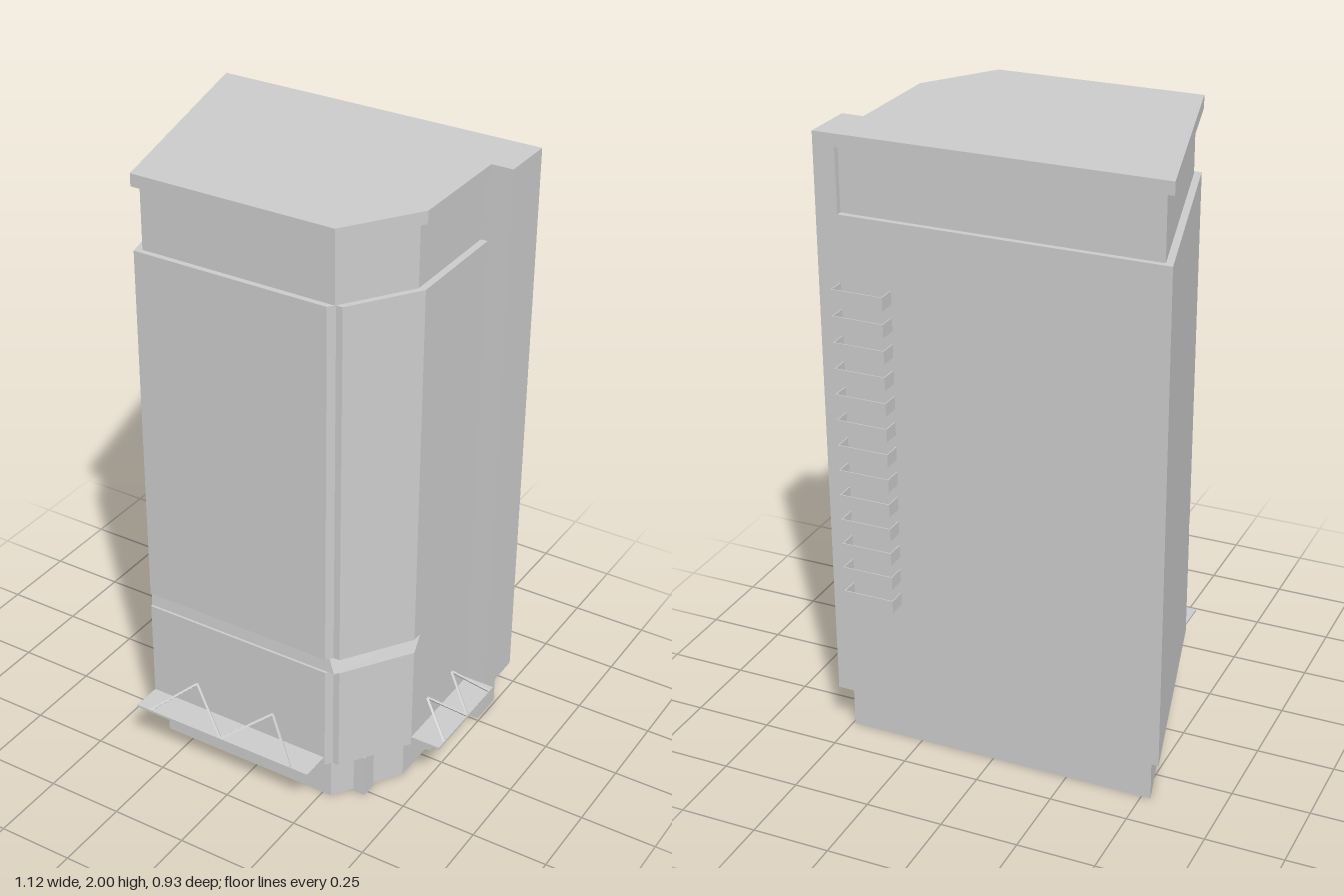
import * as THREE from 'three';

const grey = new THREE.MeshStandardMaterial({ color: 0xcccccc, flatShading: true, side: THREE.DoubleSide });

// Tower footprint as [x, z]; edges in order: back, left, chamfer, front, slanted right
const PLAN = [[-0.565, -0.408], [0.457, -0.408], [0.457, 0.132], [0.302, 0.362], [-0.37, 0.362]];

// Footprint with each edge moved inwards by its own inset
function outline(insets) {
  const lines = PLAN.map((p, i) => {
    const q = PLAN[(i + 1) % PLAN.length];
    const len = Math.hypot(q[0] - p[0], q[1] - p[1]);
    const d = [(q[0] - p[0]) / len, (q[1] - p[1]) / len];
    return { p: [p[0] - d[1] * insets[i], p[1] + d[0] * insets[i]], d };
  });
  return lines.map((b, i) => {
    const a = lines[(i + lines.length - 1) % lines.length];
    const cross = a.d[0] * b.d[1] - a.d[1] * b.d[0];
    const t = ((b.p[0] - a.p[0]) * b.d[1] - (b.p[1] - a.p[1]) * b.d[0]) / cross;
    return [a.p[0] + a.d[0] * t, a.p[1] + a.d[1] * t];
  });
}

// Solid or open shell between a lower and an upper outline
function loft(name, low, y0, high, y1, capped = true) {
  const pos = [];
  const n = low.length;
  const put = (p, y) => pos.push(p[0], y, p[1]);
  for (let i = 0; i < n; i++) {
    const j = (i + 1) % n;
    put(low[i], y0); put(high[i], y1); put(low[j], y0);
    put(high[i], y1); put(high[j], y1); put(low[j], y0);
  }
  if (capped) {
    const tris = THREE.ShapeUtils.triangulateShape(low.map(p => new THREE.Vector2(...p)), []);
    for (const [a, b, c] of tris) {
      put(low[a], y0); put(low[b], y0); put(low[c], y0);
      put(high[a], y1); put(high[c], y1); put(high[b], y1);
    }
  }
  const geo = new THREE.BufferGeometry();
  geo.setAttribute('position', new THREE.Float32BufferAttribute(pos, 3));
  geo.computeVertexNormals();
  const mesh = new THREE.Mesh(geo, grey);
  mesh.name = name;
  return mesh;
}

// Box given by its lower and upper corners
function box(name, [x0, y0, z0], [x1, y1, z1]) {
  const mesh = new THREE.Mesh(new THREE.BoxGeometry(x1 - x0, y1 - y0, z1 - z0), grey);
  mesh.position.set((x0 + x1) / 2, (y0 + y1) / 2, (z0 + z1) / 2);
  mesh.name = name;
  return mesh;
}

// Thin square rod between two points
function rod(a, b) {
  const from = new THREE.Vector3(...a), to = new THREE.Vector3(...b);
  const mesh = new THREE.Mesh(new THREE.BoxGeometry(0.007, from.distanceTo(to), 0.007), grey);
  mesh.position.copy(from).add(to).multiplyScalar(0.5);
  mesh.quaternion.setFromUnitVectors(new THREE.Vector3(0, 1, 0), to.sub(from).normalize());
  mesh.name = 'canopyRod';
  return mesh;
}

// Canopy slab hung from a zigzag of rods
function canopy(name, slabMin, slabMax, points) {
  const group = new THREE.Group();
  group.name = name;
  group.add(box('canopySlab', slabMin, slabMax));
  for (let i = 1; i < points.length; i++) group.add(rod(points[i - 1], points[i]));
  return group;
}

// Open-topped balcony on the back wall
function balcony(y) {
  const group = new THREE.Group();
  group.name = 'balcony';
  const x0 = 0.291, x1 = 0.457, z0 = -0.466, z1 = -0.408, top = y + 0.042, t = 0.003;
  group.add(
    box('balconyFloor', [x0, y, z0], [x1, y + t, z1]),
    box('balconyFront', [x0, y, z0], [x1, top, z0 + t]),
    box('balconySide', [x0, y, z0], [x0 + t, top, z1]),
    box('balconySide', [x1 - t, y, z0], [x1, top, z1]),
  );
  return group;
}

export function createModel() {
  const model = new THREE.Group();
  model.name = 'tower';

  // Set-back ground floor, open underneath, with entrance posts
  const base = [[-0.53, -0.375], [0.492, -0.375], [0.492, -0.26], [0.422, -0.26],
    [0.422, 0.118], [0.281, 0.327], [-0.345, 0.327]];
  model.add(loft('groundFloor', base, 0, base, 0.15, false));
  model.add(box('entrancePost', [0.33, 0, 0.215], [0.37, 0.15, 0.27]));
  model.add(box('sidePost', [0.415, 0, -0.08], [0.44, 0.15, -0.03]));

  // Main walls, with a narrow notch running up the front corner
  const plan = outline([0, 0, 0, 0, 0]);
  const notched = [...plan.slice(0, 3), [0.316, 0.341], [0.295, 0.341], [0.278, 0.362], plan[4]];
  model.add(loft('lowerWalls', notched, 0.15, notched, 0.51));
  model.add(loft('upperWalls', notched, 0.56, notched, 1.76));

  // Groove round the front and the chamfer
  model.add(loft('grooveBand', outline([0, 0, 0.002, 0.008, 0]), 0.51,
    outline([0, 0, 0.02, 0.012, 0]), 0.56));

  // Recessed top floor and roof slab
  const recess = outline([0.018, 0.022, 0.018, 0.018, 0.022]);
  model.add(loft('topFloor', recess, 1.76, recess, 1.96));
  model.add(loft('roof', plan, 1.96, plan, 2));

  // Full-height pier on the left side
  model.add(box('pier', [0.457, 0.15, -0.408], [0.527, 2, -0.23]));
  model.add(box('pierBacking', [0.42, 1.76, -0.388], [0.457, 1.96, -0.23]));

  // Balconies
  for (let i = 0; i < 13; i++) model.add(balcony(0.51 + i * 0.0833));

  // Canopies over the front and the side
  const frontRods = [[-0.32, 1], [-0.2, 0], [-0.05, 1], [0.087, 0], [0.21, 1]]
    .map(([x, out]) => [x, out ? 0.178 : 0.27, out ? 0.457 : 0.362]);
  model.add(canopy('frontCanopy', [-0.37, 0.17, 0.362], [0.275, 0.178, 0.46], frontRods));
  const sideRods = [[-0.205, 1], [-0.125, 0], [-0.057, 1], [0.034, 0], [0.095, 1]]
    .map(([z, out]) => [out ? 0.555 : 0.457, out ? 0.178 : 0.27, z]);
  model.add(canopy('sideCanopy', [0.457, 0.17, -0.23], [0.557, 0.178, 0.132], sideRods));

  return model;
}
